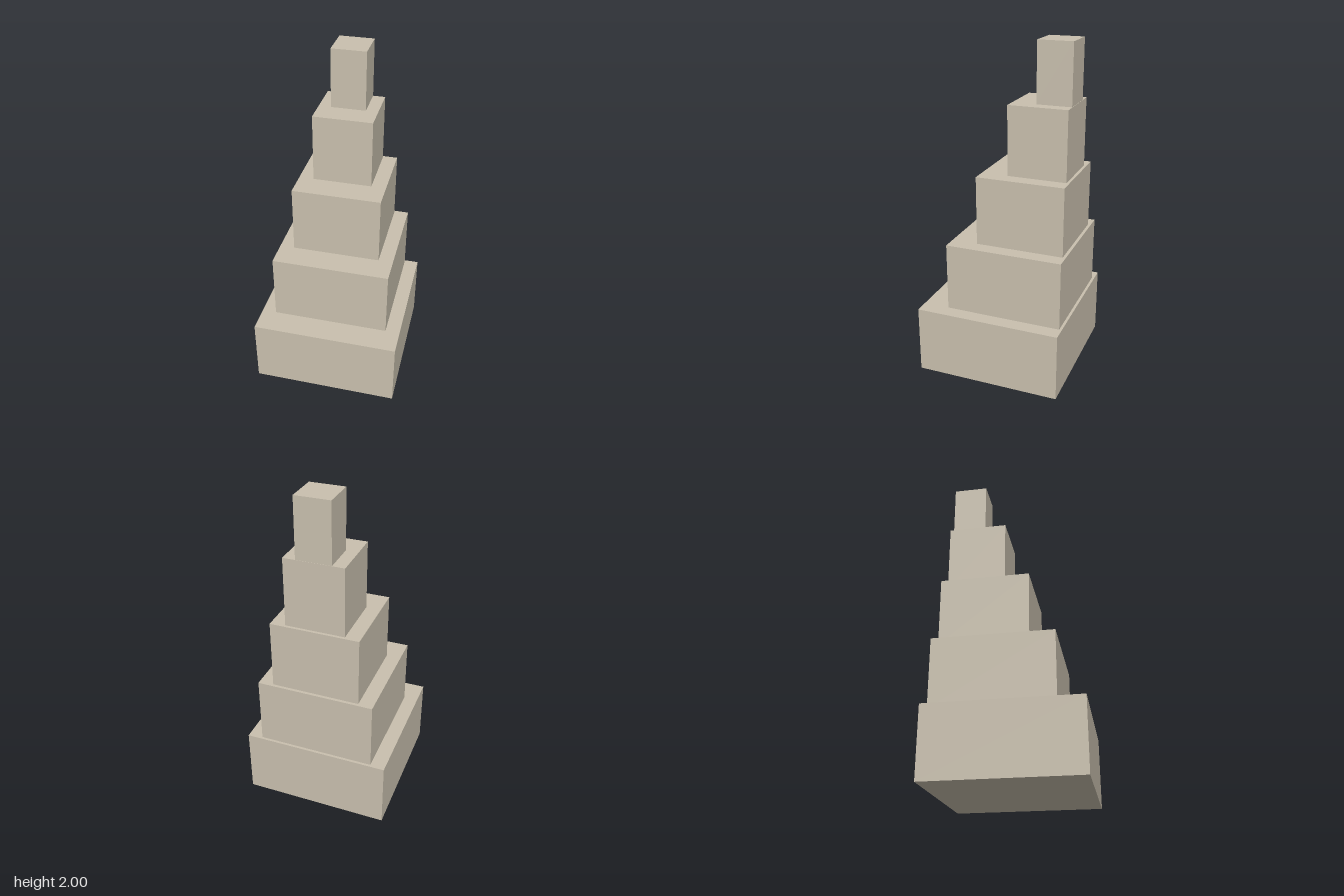
import * as THREE from 'three';

export function createModel() {
  const group = new THREE.Group();
  group.name = 'steppedTower';
  const stone = new THREE.MeshStandardMaterial({ color: 0xc9c0ae });
  stone.name = 'sandstone';

  // Square tiers from the ground up: side, back edge z, bottom y, top y
  const tiers = [
    ['baseTier', 0.879, -0.44, 0, 0.412],
    ['secondTier', 0.704, -0.424, 0.412, 0.824],
    ['thirdTier', 0.528, -0.406, 0.824, 1.237],
    ['fourthTier', 0.352, -0.389, 1.237, 1.648],
    ['topBlock', 0.206, -0.387, 1.648, 2],
  ];
  for (const [name, side, back, bottom, top] of tiers) {
    const tier = new THREE.Mesh(new THREE.BoxGeometry(side, top - bottom, side), stone);
    tier.name = name;
    tier.position.set(0, (bottom + top) / 2, back + side / 2);
    group.add(tier);
  }
  return group;
}
